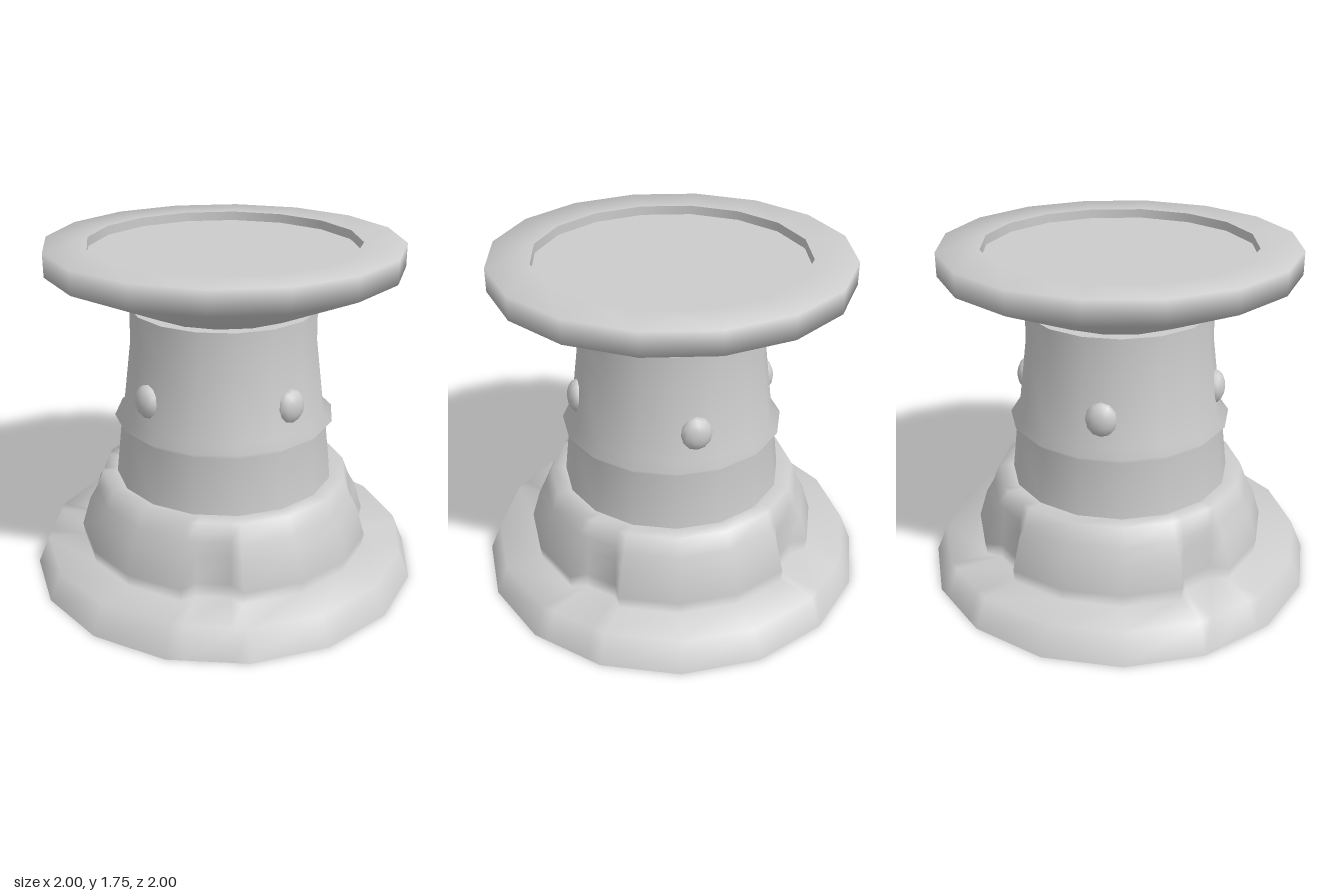
import * as THREE from 'three';

const SIDES = 16;
const HALF = Math.PI / SIDES;

const material = new THREE.MeshStandardMaterial({ color: 0xcccccc, side: THREE.DoubleSide });

function addMesh(parent, name, geometry) {
  const mesh = new THREE.Mesh(geometry, material);
  mesh.name = name;
  parent.add(mesh);
  return mesh;
}

// Sixteen-sided turned part; points run from bottom to top on the outside
function turned(points, phiStart = 0) {
  return new THREE.LatheGeometry(points.map(([r, y]) => new THREE.Vector2(r, y)), SIDES, phiStart);
}

// Flange and collar: hollow shell with four wide pads and diagonal recesses
function baseGeometry() {
  // Each row: height, radius at the pads, radius in the recesses
  const rows = [
    [0, 1.02, 1.02],
    [0.15, 0.958, 0.958],
    [0.15, 0.76, 0.71],
    [0.22, 0.77, 0.70],
    [0.37, 0.725, 0.685],
    [0.44, 0.685, 0.68],
    [0.53, 0.65, 0.65],
    [0.53, 0.571, 0.571],
  ];
  // Columns of one quarter: pad corners, then the recess between pads
  const quarter = [-33.75, -11.25, 11.25, 33.75, 38, 52];
  const columns = [];
  for (let q = 0; q < 4; q++) {
    quarter.forEach((deg, i) => columns.push({ angle: THREE.MathUtils.degToRad(deg + q * 90), recess: i > 3 }));
  }
  // Keeps recess columns on the straight side of the polygon
  const chord = Math.cos(HALF) / Math.cos(THREE.MathUtils.degToRad(7));
  const positions = [];
  const index = [];
  const n = columns.length;
  rows.forEach(([y, pad, gap], j) => {
    columns.forEach(({ angle, recess }, i) => {
      const r = recess ? gap * chord : pad;
      positions.push(r * Math.sin(angle), y, r * Math.cos(angle));
      if (j < rows.length - 1) {
        const a = j * n + i;
        const b = j * n + (i + 1) % n;
        index.push(a, b, b + n, a, b + n, a + n);
      }
    });
  });
  const geometry = new THREE.BufferGeometry();
  geometry.setAttribute('position', new THREE.Float32BufferAttribute(positions, 3));
  geometry.setIndex(index);
  geometry.computeVertexNormals();
  return geometry;
}

export function createModel() {
  const model = new THREE.Group();
  model.name = 'pedestal';

  addMesh(model, 'base', baseGeometry());

  // Tapered hollow shaft with a small raised band
  const shaft = [
    [0.571, 0.53], [0.538, 0.82], [0.571, 0.852], [0.525, 0.885], [0.479, 1.25], [0.477, 1.43],
  ];
  addMesh(model, 'shaft', turned(shaft, HALF));
  addMesh(model, 'shaftTop', turned([[0.477, 1.43], [0.4, 1.43]], HALF));

  // Flared dish with a flat rim and a shallow recess
  addMesh(model, 'dish', turned([[0.42, 1.43], [0.89, 1.638], [0.89, 1.755], [0.68, 1.755]]));
  addMesh(model, 'recessWall', turned([[0.68, 1.755], [0.68, 1.708]]));
  const floor = addMesh(model, 'recessFloor', new THREE.CircleGeometry(0.68, SIDES));
  floor.rotation.x = -Math.PI / 2;
  floor.position.y = 1.708;

  // Four rounded studs around the shaft
  const studGeometry = new THREE.SphereGeometry(1, 12, 8);
  studGeometry.rotateX(Math.PI / 2);
  studGeometry.scale(0.08, 0.088, 0.055);
  for (let i = 0; i < 4; i++) {
    const angle = i * Math.PI / 2;
    const stud = addMesh(model, 'stud', studGeometry);
    stud.position.set(0.49 * Math.sin(angle), 1.027, 0.49 * Math.cos(angle));
    stud.rotation.y = angle;
  }

  return model;
}
